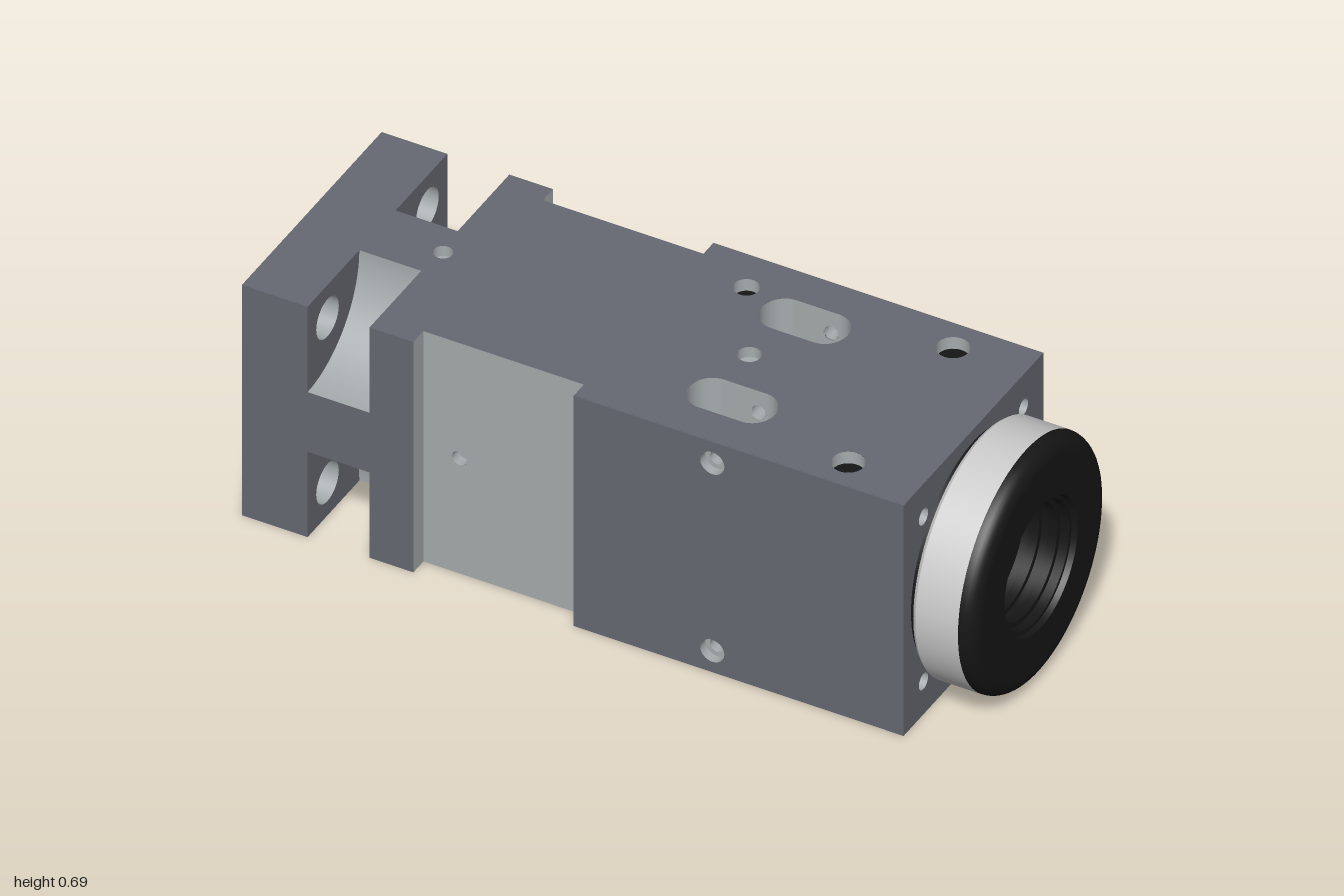
import * as THREE from 'three';
import { mergeGeometries } from 'three/addons/utils/BufferGeometryUtils.js';

const material = (color) => new THREE.MeshStandardMaterial({ color, side: THREE.DoubleSide });
const H = 0.347, AXIS = 0.3525;               // half width of the block, height of its axis
const FRONT = 0.8145, WAIST = 0.297;          // lens-side face, half depth of the waist
const N0 = -0.82, N1 = -0.65, NIN = 0.09;     // corner notches along x, inner limit
const BORE = 0.21, BOLT = 0.248;
const SLOT = { x0: 0.194, x1: 0.312, z: 0.18, r: 0.063, sx: 0.92 };
const CROSS = { x: 0.29, y: 0.2825, r: 0.02 };

export function createModel() {
  const dark = material(0x666973), silver = material(0xcccccc);
  const machined = material(0xa5abad), black = material(0x161616);
  const model = new THREE.Group();
  model.position.y = AXIS;
  const root = new THREE.Group();
  root.name = 'camera';
  root.add(model);

  const mesh = (name, geo, mat, parent = model) => {
    const m = new THREE.Mesh(geo, mat);
    m.name = name;
    parent.add(m);
    return m;
  };

  // Flat panel facing local +z; holes are {x, y, r, depth, floor, inner}
  const panel = (name, shape, mat, holes = []) => {
    const g = new THREE.Group();
    g.name = name;
    for (const o of holes) {
      shape.holes.push(new THREE.Path().absarc(o.x, o.y, o.r, 0, Math.PI * 2, true));
      if (!o.depth) continue;
      const wall = new THREE.CylinderGeometry(o.r, o.r, o.depth, 32, 1, true).rotateX(Math.PI / 2);
      mesh('holeWall', wall, machined, g).position.set(o.x, o.y, -o.depth / 2);
      if (!o.floor) continue;
      mesh('holeFloor', new THREE.RingGeometry(o.inner ?? 0, o.r, 32), o.floor, g).position.set(o.x, o.y, -o.depth);
    }
    mesh(name + 'Face', new THREE.ShapeGeometry(shape, 32), mat, g);
    model.add(g);
    return g;
  };

  // Outline from its upper half, mirrored over y = 0
  const mirrored = (pts) => new THREE.Shape([...pts, ...pts.map(([x, y]) => [x, -y]).reverse()]
    .map(([x, y]) => new THREE.Vector2(x, y)));

  // Surface turned about the x axis, with a sharp edge at every [x, radius] point
  const turned = (name, pts, mat, smooth = false) => {
    const v = pts.map(([x, r]) => new THREE.Vector2(r, x));
    const parts = smooth ? [new THREE.LatheGeometry(v, 96)]
      : v.slice(1).map((p, i) => new THREE.LatheGeometry([v[i], p], 96));
    return mesh(name, mergeGeometries(parts).rotateZ(-Math.PI / 2), mat);
  };

  // Drops the triangles whose centre lies in one of the given voids
  const carve = (geo, ...voids) => {
    const g = geo.toNonIndexed(), p = g.attributes.position, n = g.attributes.normal;
    const pos = [], nor = [];
    for (let i = 0; i < p.count; i += 3) {
      const mid = ['getX', 'getY', 'getZ'].map((f) => (p[f](i) + p[f](i + 1) + p[f](i + 2)) / 3);
      if (voids.some((inside) => inside(...mid))) continue;
      pos.push(...p.array.slice(i * 3, i * 3 + 9));
      nor.push(...n.array.slice(i * 3, i * 3 + 9));
    }
    const out = new THREE.BufferGeometry();
    out.setAttribute('position', new THREE.Float32BufferAttribute(pos, 3));
    out.setAttribute('normal', new THREE.Float32BufferAttribute(nor, 3));
    return out;
  };
  const inBore = (x, y, z) => Math.hypot(y, z) < BORE;
  const inCross = (x, y) => Math.hypot(x - CROSS.x, Math.abs(y) - CROSS.y) < CROSS.r;
  const inSlot = (x, y, z) => {
    const dx = Math.max(SLOT.x0 - x, x - SLOT.x1, 0) / SLOT.sx;
    return Math.hypot(dx, Math.abs(z) - SLOT.z) < SLOT.r;
  };

  // Top and bottom, with slots and screw holes
  const notch = [[-1, H], [N0, H], [N0, NIN], [N1, NIN], [N1, H], [-0.53, H]];
  for (const s of [1, -1]) {
    const shape = mirrored([...notch, [-0.53, WAIST], [-0.09, WAIST], [-0.09, H], [FRONT, H]]);
    for (const y of [SLOT.z, -SLOT.z]) {
      const rx = SLOT.r * SLOT.sx;
      shape.holes.push(new THREE.Path()
        .absellipse(SLOT.x1, y, rx, SLOT.r, -Math.PI / 2, Math.PI / 2, false)
        .absellipse(SLOT.x0, y, rx, SLOT.r, Math.PI / 2, Math.PI * 1.5, false));
    }
    const floor = s > 0 ? black : machined;
    const g = panel(s > 0 ? 'topPanel' : 'bottomPanel', shape, dark, [
      { x: 0.615, y: 0.26, r: 0.042, depth: 0.035, floor },
      { x: 0.615, y: -0.26, r: 0.042, depth: 0.035, floor },
      { x: 0.065, y: 0.23 * s, r: 0.033, depth: 0.035, floor },
      { x: 0.2, y: 0, r: 0.03, depth: 0.03, floor: machined },
      { x: -0.64, y: 0, r: 0.025, depth: 0.03, floor: machined },
    ]);
    g.rotation.x = -s * Math.PI / 2;
    g.position.y = s * H;
  }

  // Front and back: main sides, recessed waist, notched mount
  for (const s of [1, -1]) {
    const sides = [
      [panel('mainSide', mirrored([[-0.09, H], [FRONT, H]]), dark, [1, -1].map((k) => (
        { x: CROSS.x, y: k * CROSS.y, r: 0.033, depth: 0.025, floor: machined, inner: CROSS.r }))), H],
      [panel('waistSide', mirrored([[-0.53, H], [-0.09, H]]), machined,
        [{ x: -0.43, y: 0, r: 0.021, depth: 0.03, floor: machined }]), WAIST],
      [panel('mountSide', mirrored(notch), dark), H],
    ];
    for (const [g, z] of sides) {
      g.rotation.x = s > 0 ? 0 : Math.PI;
      g.position.z = s * z;
    }
    for (const [x, dir] of [[-0.53, 1], [-0.09, -1]]) {
      const step = new THREE.PlaneGeometry(H - WAIST, 2 * H).rotateY(dir * Math.PI / 2);
      mesh('waistStep', step, machined).position.set(x, 0, s * (H + WAIST) / 2);
    }
  }

  // Square end faces with bolt holes
  const bolts = (r, depth, floor) => [[1, 1], [1, -1], [-1, 1], [-1, -1]]
    .map(([a, b]) => ({ x: a * BOLT, y: b * BOLT, r, depth, floor }));
  const square = () => mirrored([[-H, H], [H, H]]);
  const rear = panel('mountFace', square(), dark, [...bolts(0.056, N0 + 1),
    { x: 0, y: 0, r: 0.24 }, { x: 0, y: 0.285, r: 0.02, depth: 0.04, floor: machined }]);
  rear.rotation.y = -Math.PI / 2;
  rear.position.x = -1;
  const lensFace = panel('lensFace', square(), dark, [...bolts(0.023, 0.03, machined), { x: 0, y: 0, r: 0.25 }]);
  lensFace.rotation.y = Math.PI / 2;
  lensFace.position.x = FRONT;

  // Four concave corner notches that free the bolts
  const R = H - NIN;
  for (let k = 0; k < 4; k++) {
    const g = new THREE.Group();
    g.name = 'cornerNotch';
    g.rotation.set(0, Math.PI / 2, k * Math.PI / 2);
    model.add(g);
    const corner = () => new THREE.Shape().moveTo(H, H).lineTo(H, NIN)
      .absarc(H, H, R, -Math.PI / 2, -Math.PI, true);
    const outer = panel('notchOuterWall', corner(), dark, [{ x: BOLT, y: BOLT, r: 0.056 }]);
    outer.position.z = N0;
    const inner = panel('notchInnerWall', corner(), dark);
    inner.position.z = N1;
    g.add(outer, inner);
    const arc = new THREE.CylinderGeometry(R, R, N1 - N0, 24, 1, true, -Math.PI / 2, Math.PI / 2);
    mesh('notchArc', arc.rotateX(Math.PI / 2), machined, g).position.set(H, H, (N0 + N1) / 2);
  }

  // Vertical slots, open to the bore and crossed by the side holes
  for (const s of [1, -1]) {
    const walls = [];
    for (const k of [1, -1]) {
      walls.push(new THREE.PlaneGeometry(SLOT.x1 - SLOT.x0, 2 * H, 24, 140)
        .translate((SLOT.x0 + SLOT.x1) / 2, 0, s * SLOT.z + k * SLOT.r));
      walls.push(new THREE.CylinderGeometry(SLOT.r, SLOT.r, 2 * H, 20, 100, true, k > 0 ? 0 : Math.PI, Math.PI)
        .scale(SLOT.sx, 1, 1).translate(k > 0 ? SLOT.x1 : SLOT.x0, 0, s * SLOT.z));
    }
    mesh('slotWall', carve(mergeGeometries(walls), inBore, inCross), machined);
    const cross = new THREE.CylinderGeometry(CROSS.r, CROSS.r, 2 * H - 0.05, 24, 100, true)
      .rotateX(Math.PI / 2).translate(CROSS.x, s * CROSS.y, 0);
    mesh('crossHole', carve(cross, inSlot), machined);
  }

  // Bore through the block
  turned('mountBore', [[-1, 0.24], [-0.99, 0.233], [-0.86, 0.233], [-0.86, BORE], [0.1, BORE]], machined);
  const boreMid = new THREE.CylinderGeometry(BORE, BORE, 0.3, 128, 50, true)
    .rotateZ(-Math.PI / 2).translate(0.25, 0, 0);
  mesh('slottedBore', carve(boreMid, inSlot), machined);

  // Lens ring: neck, silver rim, black rounded front and stepped throat
  turned('lensNeck', [[FRONT, 0.25], [FRONT, 0.31], [0.835, 0.31]], black);
  turned('lensRim', [[0.83, 0.3], [0.83, 0.327], [0.84, 0.335], [0.957, 0.335]], silver);
  const round = Array.from({ length: 9 }, (_, i) => {
    const a = i / 8 * Math.PI / 2;
    return [0.957 + 0.043 * Math.sin(a), 0.292 + 0.043 * Math.cos(a)];
  });
  turned('lensFrontEdge', round, black, true);
  const throat = [[1, 0.292], [1, 0.182], [0.985, 0.178]];
  for (let x = 0.985; x > 0.78; x -= 0.05) {
    throat.push([x, 0.168], [x - 0.025, 0.168], [x - 0.025, 0.153], [x - 0.05, 0.153]);
  }
  throat.push([0.7, 0.153], [0.7, BORE], [0.4, BORE]);
  turned('lensThroat', throat, black);
  return root;
}
